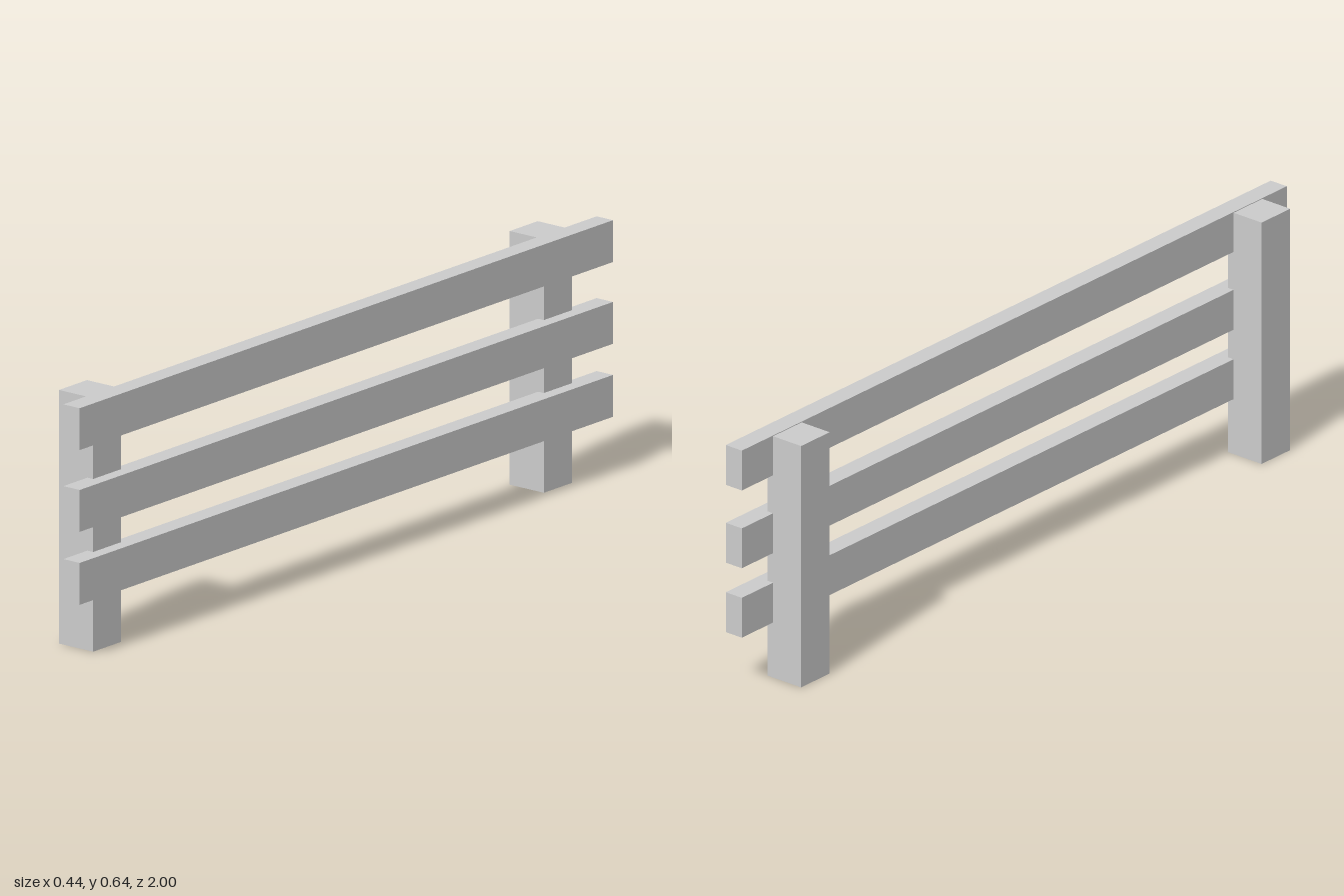
import * as THREE from 'three';

export function createModel() {
  const model = new THREE.Group();
  model.name = 'railFence';
  const material = new THREE.MeshStandardMaterial({ color: 0xcccccc, flatShading: true });

  // Box standing on height y
  function addBox(name, w, h, d, x, y, z, parent) {
    const mesh = new THREE.Mesh(new THREE.BoxGeometry(w, h, d), material);
    mesh.name = name;
    mesh.position.set(x, y + h / 2, z);
    parent.add(mesh);
  }

  // The whole fence section runs along z, turned slightly about the vertical
  const fence = new THREE.Group();
  fence.name = 'fenceSection';
  fence.position.x = 0.034;
  fence.rotation.y = 0.1593;
  model.add(fence);

  // Three horizontal rails
  const rails = { lowerRail: 0.145, middleRail: 0.328, upperRail: 0.533 };
  for (const [name, y] of Object.entries(rails)) {
    addBox(name, 0.0506, 0.105, 2.0175, 0, y, 0, fence);
  }

  // Two square posts, slightly let into the rails
  const posts = { frontPost: 0.865, backPost: -0.84 };
  for (const [name, z] of Object.entries(posts)) {
    addBox(name, 0.106, 0.636, 0.106, -0.0605, 0, z, fence);
  }

  return model;
}
